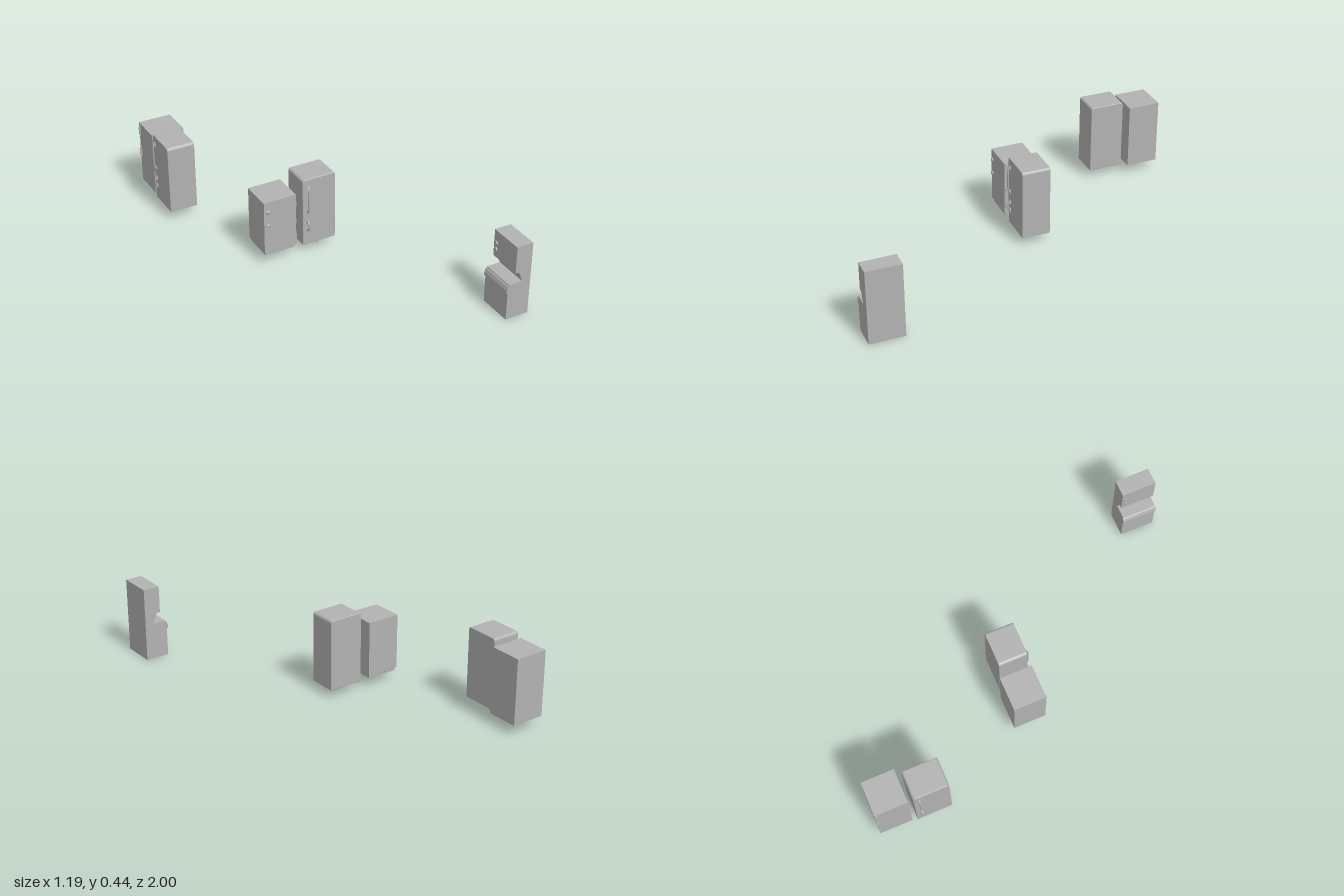
import * as THREE from 'three';

const grey = new THREE.MeshStandardMaterial({ color: 0xb2b2b2 });
grey.name = 'greyEnamel';

function add(parent, name, geometry, x = 0, y = 0, z = 0) {
  const mesh = new THREE.Mesh(geometry, grey);
  mesh.name = name;
  mesh.position.set(x, y, z);
  parent.add(mesh);
  return mesh;
}
const box = (w, h, d) => new THREE.BoxGeometry(w, h, d);

// Bowed pull handle, standing off the front (+z) between y0 and y1
function pullHandle(parent, x, y0, y1, z) {
  const h = y1 - y0;
  const path = new THREE.CatmullRomCurve3([
    [y0 + 0.005, 0], [y0 + 0.015, 0.01], [y0 + h * 0.5, 0.014], [y1 - 0.015, 0.01], [y1 - 0.005, 0],
  ].map(([y, dz]) => new THREE.Vector3(0, y, dz)));
  const bar = add(parent, 'handleBar', new THREE.TubeGeometry(path, 20, 0.0045, 8), x, 0, z);
  bar.scale.x = 1.4;
  for (const y of [y0 + 0.011, y1 - 0.011]) add(parent, 'handleMount', box(0.013, 0.022, 0.006), x, y, z + 0.002);
}

// Tall fridge with rounded top corners, facing +z, standing on its own y = 0
function roundedFridge(name) {
  const g = new THREE.Group();
  g.name = name;
  const w = 0.0945, h = 0.385, r = 0.017, b = 0.004;
  const s = new THREE.Shape();
  s.moveTo(-w + b, b);
  s.lineTo(w - b, b);
  s.lineTo(w - b, h - r);
  s.quadraticCurveTo(w - b, h - b, w - r, h - b);
  s.lineTo(-w + r, h - b);
  s.quadraticCurveTo(-w + b, h - b, -w + b, h - r);
  s.closePath();
  const body = new THREE.ExtrudeGeometry(s, {
    depth: 0.147, bevelThickness: b, bevelSize: b, bevelSegments: 3, curveSegments: 6,
  });
  add(g, 'fridgeBody', body, 0, 0, -0.0735);
  pullHandle(g, -0.065, 0.186, 0.348, 0.0775);
  pullHandle(g, -0.065, 0.075, 0.143, 0.0775);
  return g;
}

// Boxy cabinet on an inset plinth, facing +z, with hinges on its left side
function cabinet(name, w, h, d, plinth, hinges) {
  const g = new THREE.Group();
  g.name = name;
  add(g, 'cabinetBody', box(w, h - plinth, d), 0, (h + plinth) / 2, 0);
  if (plinth) {
    add(g, 'plinth', box(w - 0.015, plinth, d - 0.015), 0, plinth / 2, 0);
    for (let i = 0; i < 9; i++) {
      add(g, 'vent', box(0.006, 0.004, 0.004), (i - 4) * 0.017, plinth - 0.005, -d / 2 + 0.006);
    }
  }
  for (const y of hinges) {
    add(g, 'hinge', box(0.006, 0.026, 0.012), w / 2 + 0.001, y, d / 2 - 0.008);
  }
  return g;
}

// Round knob on a +z front
function knob(parent, x, y, z, r) {
  const stem = add(parent, 'knobStem', new THREE.CylinderGeometry(r * 0.6, r * 0.6, 0.006, 16), x, y, z + 0.002);
  stem.rotation.x = Math.PI / 2;
  const cap = add(parent, 'knobCap', new THREE.SphereGeometry(r, 16, 10), x, y, z + 0.005);
  cap.scale.z = 0.5;
}

// Side profile in x and y, extruded along z
function profile(points, depth) {
  const s = new THREE.Shape(points.map(([x, y]) => new THREE.Vector2(x, y)));
  return new THREE.ExtrudeGeometry(s, { depth, bevelEnabled: false });
}

export function createModel() {
  const model = new THREE.Group();
  model.name = 'kitchenAppliances';
  const place = (g, x, y, z, turn) => {
    g.position.set(x, y, z);
    g.rotation.y = turn;
    model.add(g);
  };

  // Two identical rounded fridges
  place(roundedFridge('centreFridge'), -0.0155, 0.045, -0.073, 0);
  place(roundedFridge('sideFridge'), -0.501, 0.05, -0.706, -Math.PI / 2);

  // Cabinet with two round knobs
  const small = cabinet('knobCabinet', 0.182, 0.315, 0.174, 0.018, [0.26, 0.155, 0.066]);
  for (const y of [0.18, 0.26]) knob(small, -0.07, y, 0.087, 0.012);
  place(small, -0.243, 0.05, -0.078, 0);

  // Taller cabinet with two flat latches
  const tall = cabinet('latchCabinet', 0.174, 0.355, 0.182, 0, [0.305, 0.225, 0.148]);
  for (const y of [0.31, 0.18]) {
    add(tall, 'latchPlate', box(0.014, 0.06, 0.005), -0.076, y, 0.092);
    add(tall, 'latchLever', box(0.008, 0.045, 0.005), -0.076, y, 0.096);
  }
  place(tall, -0.481, 0.055, -0.913, -Math.PI / 2);

  // Counter machine with a slanted niche, flap and control knobs, facing -x
  const machine = new THREE.Group();
  machine.name = 'counterMachine';
  add(machine, 'machineBody', profile([
    [0.466, 0], [0.595, 0], [0.595, 0.405], [0.504, 0.405], [0.504, 0.257],
    [0.523, 0.257], [0.548, 0.2], [0.474, 0.2], [0.466, 0.183],
  ], 0.186), 0, 0, 0.812);
  add(machine, 'frontFlap', profile([
    [0.458, 0.155], [0.466, 0.155], [0.476, 0.186], [0.472, 0.194], [0.466, 0.189], [0.459, 0.17],
  ], 0.19), 0, 0, 0.81);
  for (const y of [0.338, 0.302]) {
    const dial = add(machine, 'controlKnob', new THREE.CylinderGeometry(0.011, 0.011, 0.008, 16), 0.501, y, 0.832);
    dial.rotation.z = Math.PI / 2;
  }
  model.add(machine);
  return model;
}
